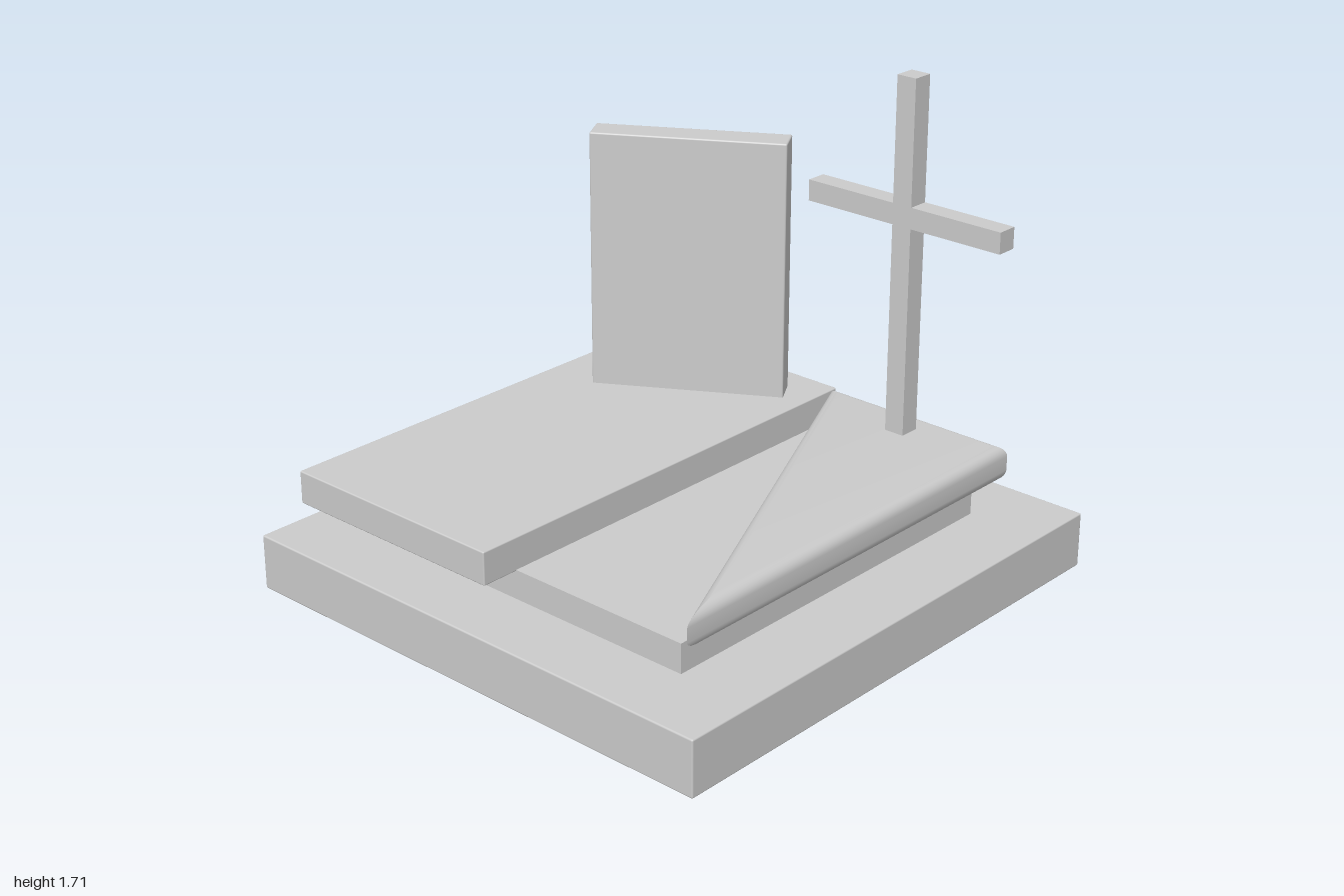
import * as THREE from 'three';
import { toCreasedNormals } from 'three/addons/utils/BufferGeometryUtils.js';
import { RoundedBoxGeometry } from 'three/addons/geometries/RoundedBoxGeometry.js';

const material = new THREE.MeshStandardMaterial({ color: 0xcccccc });

// Box given by its limits on each axis; a radius softens the edges
function block(name, [x0, x1], [y0, y1], [z0, z1], radius = 0) {
  const size = [x1 - x0, y1 - y0, z1 - z0];
  const geometry = radius
    ? new RoundedBoxGeometry(...size, 2, radius)
    : new THREE.BoxGeometry(...size);
  const mesh = new THREE.Mesh(geometry, material);
  mesh.name = name;
  mesh.position.set((x0 + x1) / 2, (y0 + y1) / 2, (z0 + z1) / 2);
  return mesh;
}

// Right-angled triangular slab with rounded rims: stacked triangles shrunk towards the incentre
function triangleSlab(y0, y1, bevel) {
  const corners = [[-0.78, 0.755], [0.855, 0.755], [0.855, -0.02]];
  const inradius = 0.3, cx = 0.555, cz = 0.455;
  const steps = 6, levels = [];
  for (let i = 0; i <= steps; i++) {
    const a = (i / steps) * Math.PI / 2;
    levels.push([y0 + bevel * (1 - Math.sin(a)), bevel * (1 - Math.cos(a))]);
  }
  levels.reverse();
  levels.push(...levels.slice().reverse().map(([y, inset]) => [y0 + y1 - y, inset]));

  const positions = [], index = [];
  for (const [y, inset] of levels) {
    const k = 1 - inset / inradius;
    for (const [x, z] of corners) positions.push(cx + (x - cx) * k, y, cz + (z - cz) * k);
  }
  // order the rings from bottom to top
  const rings = levels.map((level, i) => ({ y: level[0], start: i * 3 })).sort((a, b) => a.y - b.y);
  for (let r = 0; r < rings.length - 1; r++) {
    const lo = rings[r].start, hi = rings[r + 1].start;
    for (let i = 0; i < 3; i++) {
      const j = (i + 1) % 3;
      index.push(lo + i, lo + j, hi + j, lo + i, hi + j, hi + i);
    }
  }
  const bottom = rings[0].start, top = rings[rings.length - 1].start;
  index.push(bottom, bottom + 2, bottom + 1, top, top + 1, top + 2);

  const geometry = new THREE.BufferGeometry();
  geometry.setAttribute('position', new THREE.Float32BufferAttribute(positions, 3));
  geometry.setIndex(index);
  return toCreasedNormals(geometry, 0.5);
}

export function createModel() {
  const model = new THREE.Group();
  model.name = 'memorial';

  // Stepped plinth
  model.add(block('base', [-1, 1], [0, 0.2], [-0.975, 0.975], 0.006));
  model.add(block('middleStep', [-0.74, 0.74], [0.2, 0.305], [-0.695, 0.695]));
  model.add(block('backSlab', [-0.88, 0.88], [0.3, 0.42], [-0.905, -0.015], 0.005));

  // Triangular slab in front
  const wedge = new THREE.Mesh(triangleSlab(0.305, 0.435, 0.04), material);
  wedge.name = 'triangularSlab';
  model.add(wedge);

  // Upright tablet, turned on the back slab
  const tablet = block('tablet', [-0.35, 0.35], [0.41, 1.37], [-0.058, 0.058], 0.006);
  tablet.position.x = 0.55;
  tablet.position.z = -0.43;
  tablet.rotation.y = -Math.atan2(0.6, 0.36);
  model.add(tablet);

  // Cross
  const cross = new THREE.Group();
  cross.name = 'cross';
  cross.add(block('post', [0.68, 0.756], [0.42, 1.71], [0.362, 0.438]));
  cross.add(block('crossbar', [0.68, 0.756], [1.19, 1.266], [0, 0.8]));
  model.add(cross);

  return model;
}
